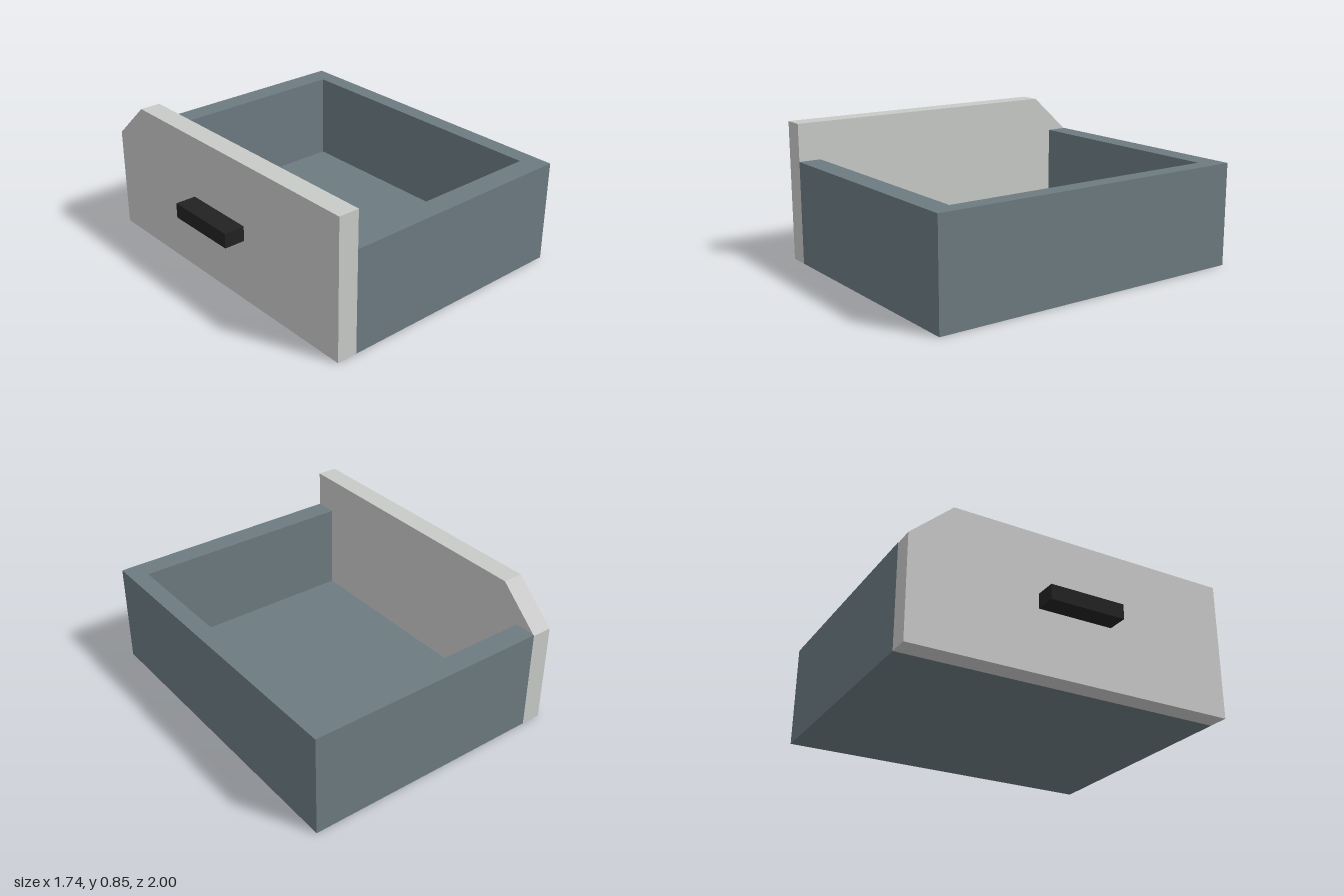
import * as THREE from 'three';

const flat = (name, color) => {
  const m = new THREE.MeshStandardMaterial({ color });
  m.name = name;
  return m;
};

const shapeOf = (points) => new THREE.Shape(points.map(([x, y]) => new THREE.Vector2(x, y)));
const extrude = (points, depth) =>
  new THREE.ExtrudeGeometry(shapeOf(points), { depth, bevelEnabled: false });

export function createModel() {
  const group = new THREE.Group();
  group.name = 'drawer';
  const slate = flat('slate grey', 0x6c7a80);
  const pale = flat('pale grey', 0xc8cac8);
  const black = flat('black', 0x222222);

  const add = (name, geometry, material) => {
    const mesh = new THREE.Mesh(geometry, material);
    mesh.name = name;
    group.add(mesh);
    return mesh;
  };

  const front = -0.62, back = 0.87, innerBack = 0.765;
  const half = 1, innerHalf = 0.865, height = 0.62, floorHeight = 0.075;

  // Three tray walls as one U-shaped outline, open towards the face panel
  const walls = extrude([
    [front, -half], [back, -half], [back, half], [front, half],
    [front, innerHalf], [innerBack, innerHalf], [innerBack, -innerHalf], [front, -innerHalf],
  ], height);
  walls.rotateX(-Math.PI / 2);
  add('trayWalls', walls, slate);

  // Floor fitted between the walls
  add('trayFloor', new THREE.BoxGeometry(innerBack - front, floorHeight, 2 * innerHalf), slate)
    .position.set((front + innerBack) / 2, floorHeight / 2, 0);

  // Face panel: profile in z and y with one clipped top corner
  const panel = extrude([
    [-half, 0], [half, 0], [half, 0.845], [-0.745, 0.845], [-half, 0.615],
  ], 0.125);
  panel.rotateY(-Math.PI / 2);
  panel.translate(front, 0, 0);
  add('facePanel', panel, pale);

  // Pull handle
  add('handle', new THREE.BoxGeometry(0.125, 0.09, 0.46), black)
    .position.set(-0.8075, 0.425, 0);

  return group;
}
